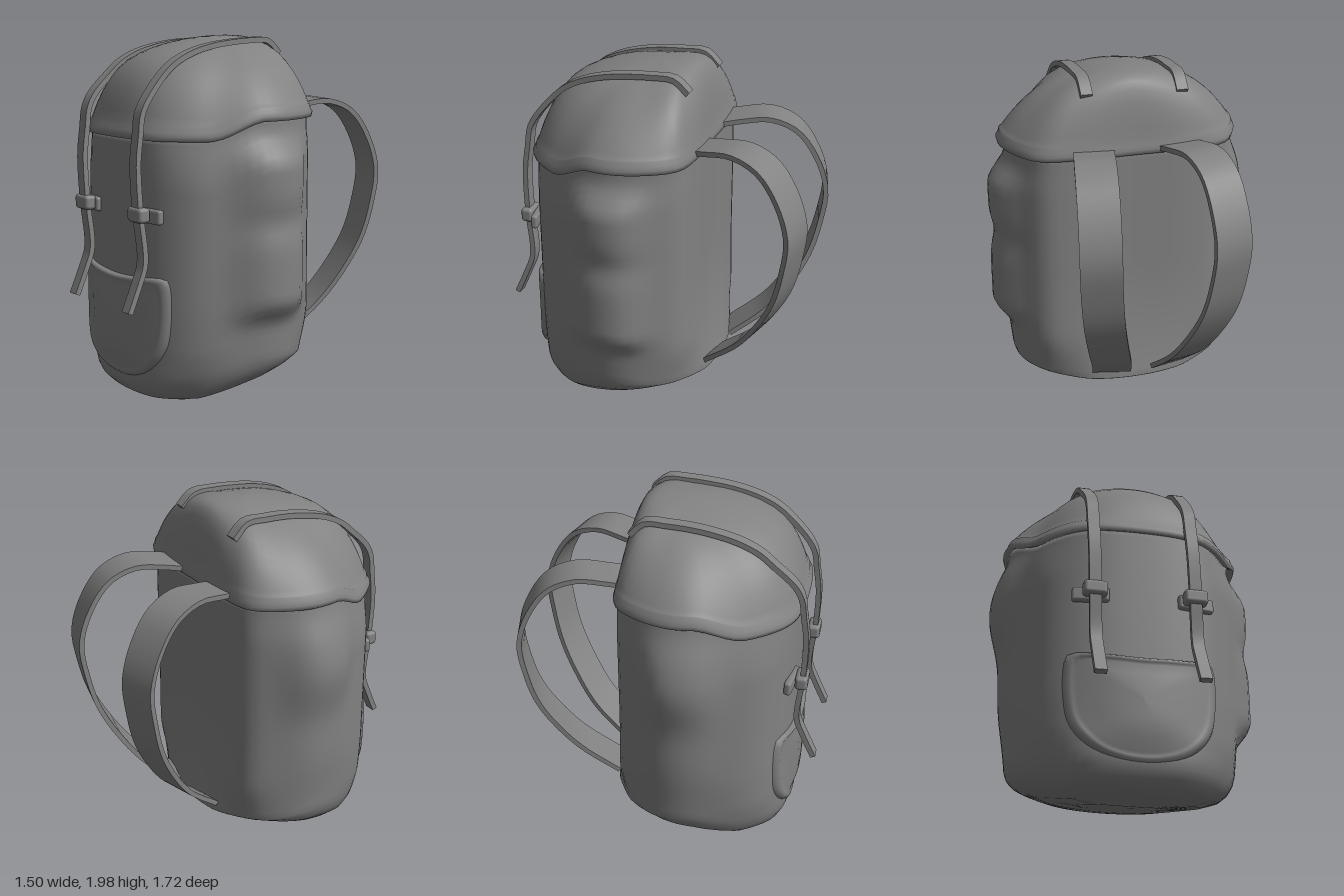
import * as THREE from 'three';
import { toCreasedNormals } from 'three/addons/utils/BufferGeometryUtils.js';
import { RoundedBoxGeometry } from 'three/addons/geometries/RoundedBoxGeometry.js';

const V = (x, y, z) => new THREE.Vector3(x, y, z);
const material = new THREE.MeshStandardMaterial({ color: 0x828282, side: THREE.DoubleSide });
const { smoothstep: smooth, clamp, lerp } = THREE.MathUtils;
const gauss = (v, centre, width) => Math.exp(-(((v - centre) / width) ** 2));

function part(name, geometry) {
  const mesh = new THREE.Mesh(geometry, material);
  mesh.name = name;
  return mesh;
}

// Skin a list of closed rings with equal point counts
function loft(rings) {
  const n = rings[0].length, index = [];
  for (let i = 0; i < rings.length - 1; i++) {
    for (let j = 0; j < n; j++) {
      const a = i * n + j, b = i * n + (j + 1) % n;
      index.push(a, a + n, b, b, a + n, b + n);
    }
  }
  const g = new THREE.BufferGeometry().setFromPoints(rings.flat());
  g.setIndex(index);
  g.computeVertexNormals();
  return g;
}

// Flat band along a path; "across" is the direction of its width
function ribbon(points, across, width, thickness, steps = 40) {
  const curve = new THREE.CatmullRomCurve3(points);
  const rings = [];
  for (let i = 0; i <= steps; i++) {
    const p = curve.getPointAt(i / steps), t = curve.getTangentAt(i / steps);
    const n = across.clone().cross(t).normalize();
    const w = t.clone().cross(n);
    const ring = [[1, -1], [1, 1], [-1, 1], [-1, -1]].map(([a, b]) =>
      p.clone().addScaledVector(w, a * width / 2).addScaledVector(n, b * thickness / 2));
    if (i === 0) rings.push(ring.map(() => p.clone()));
    rings.push(ring);
    if (i === steps) rings.push(ring.map(() => p.clone()));
  }
  return toCreasedNormals(loft(rings), 0.7);
}

// Plan outline of the bag: flat back, full sides, rounded front
const half = [[0.33, -0.26], [0.51, -0.22], [0.62, -0.06], [0.66, 0.12],
  [0.61, 0.31], [0.45, 0.56], [0.3, 0.67]];
const outline = new THREE.CatmullRomCurve3([
  V(0, 0, -0.26), ...half.map(([x, z]) => V(x, 0, z)), V(0, 0, 0.705),
  ...half.slice().reverse().map(([x, z]) => V(-x, 0, z)),
], true).getSpacedPoints(72).slice(0, 72);

const ringAt = (s, cz, fn) => outline.map((p) => fn(p.x * s, cz + (p.z - cz) * s));

// Height of the lid's lower edge, dipping at the front
const rim = (z) => 1.565 - 0.1 * smooth(z, 0.2, 0.48);

// Main sack with slanted, rounded base and lumpy sides
function bodyGeometry() {
  const tilt = (x, z) => Math.max(0.003, 0.22 - 0.28 * (z + 0.33)) + 0.1 * x * x;
  const lift = (z) => clamp((z + 0.3) / 0.5, 0.1, 1);
  const shape = (x, y, z) => {
    const k = 0.95 + 0.05 * smooth(y, 0.15, 0.6) - 0.03 * smooth(y, 1.35, 1.55);
    const lump = x > 0
      ? 0.085 * smooth(y, 0.45, 0.62) * (1 - smooth(y, 1.32, 1.5)) - 0.025 * gauss(y, 1.03, 0.09)
      : 0.09 * gauss(y, 1.2, 0.28) + 0.02 * gauss(y, 0.7, 0.2);
    const ax = Math.abs(x), rear = clamp(-z / 0.26, 0, 1);
    const side = smooth(ax, 0.4, 0.6) * Math.exp(-(((z - 0.13) / 0.21) ** 4));
    const cheek = 0.03 * gauss(z, 0.5, 0.17) * smooth(ax, 0.2, 0.45) * smooth(y, 0.1, 0.35) * (1 - smooth(y, 1.2, 1.5));
    const tail = 0.13 * Math.max(0, 1 - y / 0.9) ** 2 * gauss(x, 0, 0.42);
    const corner = 0.07 * (1 - smooth(y, 0.15, 0.5)) * smooth(ax, 0.25, 0.55);
    return V(x * k + Math.sign(x) * (lump * side + cheek), y, z + rear * (corner - tail) + cheek * 0.6);
  };
  const rings = [[0, 0], [0.4, 0], [0.7, 0.008], [0.86, 0.035], [0.94, 0.075], [0.985, 0.125]]
    .map(([s, rise]) => ringAt(s, 0.2, (x, z) => shape(x, tilt(x, z) + rise * lift(z), z)));
  for (let i = 0; i <= 32; i++) {
    rings.push(ringAt(1, 0.2, (x, z) =>
      shape(x, lerp(tilt(x, z) + 0.175 * lift(z), rim(z) + 0.02, i / 32), z)));
  }
  rings.push(ringAt(0, 0.2, (x, z) => V(x, 1.5, z)));
  return loft(rings);
}

// Domed lid with a flared lip, highest toward the back
function lidGeometry() {
  const cz = 0.05;
  const rings = [[0.95, 0.03], [1.0, 0.005], [1.03, 0], [1.04, 0.025], [1.02, 0.045]].map(([s, up]) =>
    ringAt(s, cz, (x, z) => V(x, rim(z) + up, z)));
  for (const s of [1.01, 0.995, 0.97, 0.94, 0.9, 0.85, 0.78, 0.7, 0.6, 0.5, 0.4, 0.3, 0.2, 0.1, 0]) {
    rings.push(outline.map((p) => {
      const dz = (p.z - cz) / Math.hypot(p.x, p.z - cz);
      const power = 3 + (dz > 0 ? 7 * dz ** 3 : 7 * dz * dz);
      const base = rim(p.z) + 0.07;
      const x = p.x * s, z = cz + (p.z - cz) * s;
      const top = 1.955 + 0.04 * gauss(x, 0, 0.26) - 0.36 * (z + 0.03) ** 2;
      return V(x, base + (top - base) * Math.max(0, 1 - s ** power), z);
    }));
  }
  return loft(rings);
}

// Padded front pocket curved to follow the sack
function pocketGeometry() {
  const edge = [[-0.39, 0.73], [-0.2, 0.725], [0, 0.715], [0.2, 0.725], [0.39, 0.73], [0.405, 0.68],
    [0.405, 0.5], [0.37, 0.34], [0.26, 0.21], [0.1, 0.15], [-0.1, 0.15], [-0.26, 0.21],
    [-0.37, 0.34], [-0.405, 0.5], [-0.405, 0.68]];
  const pts = new THREE.CatmullRomCurve3(edge.map(([x, y]) => V(x, y, 0)), true)
    .getSpacedPoints(60).slice(0, 60);
  const bend = (x, y) => 0.695 - 0.3 * x * x - 1.5 * x ** 4 - 0.05 * (1 - smooth(y, 0.05, 0.3));
  return loft([[1, -0.06], [1, 0.01], [0.985, 0.035], [0.94, 0.047], [0.89, 0.04], [0.83, 0.035],
    [0.6, 0.042], [0.3, 0.046], [0, 0.048]].map(([s, d]) => pts.map((p) => {
    const x = p.x * s, y = 0.47 + (p.y - 0.47) * s;
    return V(x, y, bend(x, y) + d);
  })));
}

export function createModel() {
  const model = new THREE.Group();
  model.name = 'backpack';
  const lid = part('lid', lidGeometry());
  model.add(part('body', bodyGeometry()), lid, part('frontPocket', pocketGeometry()));

  // Lid straps lie on the dome, then hang down the front
  const ray = new THREE.Raycaster();
  const lidHeight = (x, z) => {
    ray.set(V(x, 3, z), V(0, -1, 0));
    return ray.intersectObject(lid)[0].point.y;
  };
  for (const [side, top, bottom] of [['left', 0.25, 0.3], ['right', -0.285, -0.245]]) {
    const xAt = (y) => lerp(bottom, top, clamp((y - 0.57) / 1.35, 0, 1));
    const path = [-0.2, -0.12, 0, 0.12, 0.25, 0.38, 0.48, 0.55].map((z) =>
      V(top, lidHeight(top, z) + 0.018, z + 0.015 * smooth(z, 0.3, 0.55)));
    for (const [z, y] of [[0.68, 1.675], [0.72, 1.6], [0.735, 1.5], [0.755, 1.35], [0.75, 1.1],
      [0.73, 0.82], [0.77, 0.71], [0.835, 0.565]]) path.push(V(xAt(y), y, z));
    model.add(part(side + 'LidStrap', ribbon(path, V(1, 0, 0), 0.065, 0.03, 60)));

    // Buckle loop with a sewn tab behind it
    const x = xAt(1.08), sign = Math.sign(x);
    const loop = part(side + 'Buckle', new RoundedBoxGeometry(0.13, 0.08, 0.07, 3, 0.02));
    loop.position.set(x, 1.08, 0.745);
    const tab = part(side + 'BuckleTab', new RoundedBoxGeometry(0.2, 0.08, 0.04, 2, 0.015));
    tab.position.set(x + sign * 0.015, 1.07, 0.69);
    tab.rotation.y = sign * 0.15;
    model.add(loop, tab);
  }

  // Shoulder straps
  const arc = [[0.215, 1.585, -0.22], [0.25, 1.61, -0.35], [0.285, 1.625, -0.5], [0.315, 1.565, -0.65],
    [0.335, 1.41, -0.765], [0.345, 1.22, -0.825], [0.335, 1.02, -0.805], [0.31, 0.82, -0.755],
    [0.265, 0.63, -0.66], [0.21, 0.45, -0.53], [0.155, 0.28, -0.33]];
  for (const [name, s, shift] of [['leftShoulderStrap', 1, 0], ['rightShoulderStrap', -1, -0.025]]) {
    const path = arc.map(([x, y, z]) => V(s * x + shift, y, z));
    model.add(part(name, ribbon(path, V(0.97, 0, s * 0.24), 0.22, 0.028)));
  }
  return model;
}
